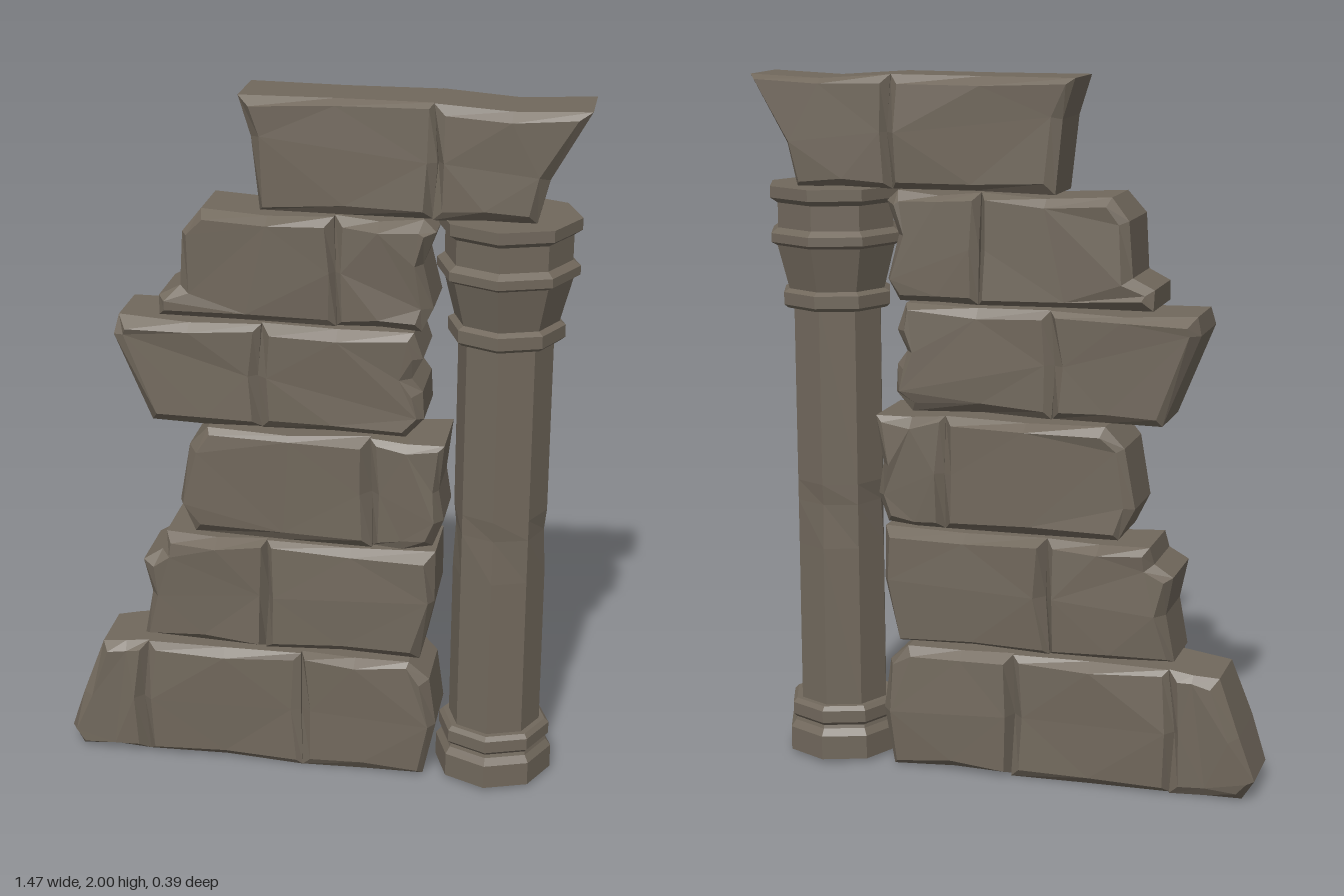
import * as THREE from 'three';

const stoneMat = new THREE.MeshStandardMaterial({ color: 0x71685c, flatShading: true });
stoneMat.name = 'weathered stone';

// small seeded generator for chipped edges
let seed = 7;
const jitter = (a) => {
  seed = (seed * 16807) % 2147483647;
  return (seed / 2147483647 - 0.5) * 2 * a;
};

// move each corner of a counter-clockwise outline inwards
function insetOutline(pts, d) {
  const n = pts.length;
  return pts.map((p, i) => {
    const a = pts[(i + n - 1) % n], b = pts[(i + 1) % n];
    const e1 = p.clone().sub(a).normalize(), e2 = b.clone().sub(p).normalize();
    const m = new THREE.Vector2(-e1.y - e2.y, e1.x + e2.x);
    const k = (d + jitter(d * 0.4)) / Math.max(0.6, m.lengthSq() / 2);
    return p.clone().addScaledVector(m, k);
  });
}

// rough block: full outline at mid depth, bevelled to smaller front and back faces
function makeStone(name, outline, face) {
  const pts = outline.map(([x, y]) => new THREE.Vector2(x, y));
  const n = pts.length, rim = face - 0.026;
  const front = insetOutline(pts, 0.022), back = insetOutline(pts, 0.022);
  const loops = [
    back.map((p) => [p.x, p.y, -face + jitter(0.008)]),
    pts.map((p) => [p.x, p.y, -rim + jitter(0.012)]),
    pts.map((p) => [p.x, p.y, rim + jitter(0.012)]),
    front.map((p) => [p.x, p.y, face + jitter(0.008)]),
  ];
  const index = [];
  for (let l = 0; l < 3; l++) {
    for (let i = 0; i < n; i++) {
      const a = l * n + i, b = l * n + (i + 1) % n;
      index.push(a, b, b + n, a, b + n, a + n);
    }
  }
  for (const [a, b, c] of THREE.ShapeUtils.triangulateShape(front, [])) {
    index.push(3 * n + a, 3 * n + b, 3 * n + c);
  }
  for (const [a, b, c] of THREE.ShapeUtils.triangulateShape(back, [])) {
    index.push(a, c, b);
  }
  const geo = new THREE.BufferGeometry();
  geo.setAttribute('position', new THREE.Float32BufferAttribute(loops.flat(2), 3));
  geo.setIndex(index);
  const flat = geo.toNonIndexed();
  flat.computeVertexNormals();
  const mesh = new THREE.Mesh(flat, stoneMat);
  mesh.name = name;
  return mesh;
}

// one course: ragged ends as [x, share of height], cut into stones at the joints
function makeCourse({ name, y, left, joints, right, face = 0.123 }) {
  const course = new THREE.Group();
  course.name = name;
  const [y0, y1] = y;
  const place = ([x, t]) => [x, y0 + t * (y1 - y0)];
  const seams = joints.map((x) => [[x, 0], [x + jitter(0.012), 0.5], [x + jitter(0.008), 1]].map(place));
  const ends = [left.map(place).reverse(), ...seams, right.map(place)];
  for (let i = 0; i < ends.length - 1; i++) {
    const a = ends[i], b = ends[i + 1];
    const [topA, topB] = [a.at(-1), b.at(-1)];
    const bottomMid = [(a[0][0] + b[0][0]) / 2, y0 + Math.abs(jitter(0.008))];
    const topMid = [(topA[0] + topB[0]) / 2, (topA[1] + topB[1]) / 2 - Math.abs(jitter(0.012))];
    const outline = [bottomMid, ...b, topMid, ...a.slice().reverse()];
    course.add(makeStone(`${name}Stone${i + 1}`, outline, face));
  }
  return course;
}

// left ends run from top to bottom, right ends from bottom to top
const courses = [
  { name: 'course1', y: [0, 0.365], joints: [-0.495, -0.03],
    left: [[-0.63, 0.95], [-0.69, 0.5], [-0.735, 0.15], [-0.7, 0]],
    right: [[0.325, 0], [0.36, 0.45], [0.34, 0.86], [0.28, 1]] },
  { name: 'course2', y: [0.375, 0.715], joints: [-0.14],
    left: [[-0.43, 1], [-0.44, 0.85], [-0.495, 0.75], [-0.475, 0.43], [-0.5, 0.03]],
    right: [[0.31, 0], [0.35, 0.55], [0.35, 1]] },
  { name: 'course3', y: [0.72, 1.05], joints: [0.17],
    left: [[-0.3, 1], [-0.355, 0.82], [-0.385, 0.3], [-0.34, 0.03]],
    right: [[0.34, 0.03], [0.37, 0.27], [0.355, 0.55], [0.37, 0.97]] },
  { name: 'course4', y: [1.06, 1.365], joints: [-0.145],
    left: [[-0.55, 1], [-0.56, 0.83], [-0.46, 0]],
    right: [[0.26, 0], [0.31, 0.17], [0.305, 0.43], [0.275, 0.56], [0.305, 0.75], [0.28, 1]] },
  { name: 'course5', y: [1.37, 1.68], joints: [0.065],
    left: [[-0.31, 1], [-0.36, 0.8], [-0.37, 0.3], [-0.43, 0.2], [-0.43, 0.02]],
    right: [[0.3, 0], [0.33, 0.2], [0.3, 0.6], [0.335, 0.9], [0.3, 1]] },
  { name: 'lintel', y: [1.68, 1.995], joints: [0.322], face: 0.11,
    left: [[-0.205, 1], [-0.17, 0.65], [-0.15, 0]],
    right: [[0.6, 0], [0.63, 0.38], [0.735, 0.98]] },
];

// eight-sided column part from [radius, height] pairs
function makeColumnPart(name, profile) {
  const pts = profile.map(([r, y]) => new THREE.Vector2(r, y));
  const geo = new THREE.LatheGeometry(pts, 8).toNonIndexed();
  geo.computeVertexNormals();
  const mesh = new THREE.Mesh(geo, stoneMat);
  mesh.name = name;
  return mesh;
}

function makeColumn() {
  const column = new THREE.Group();
  column.name = 'column';
  column.position.x = 0.52;
  column.rotation.y = -0.05;
  column.add(makeColumnPart('columnBase', [
    [0, 0.01], [0.17, 0.01], [0.17, 0.08], [0.155, 0.1], [0.152, 0.11],
    [0.162, 0.12], [0.162, 0.155], [0.15, 0.167], [0.12, 0.167],
  ]));
  const shaft = makeColumnPart('columnShaft', [
    [0.133, 0.16], [0.132, 0.64], [0.132, 0.77], [0.132, 0.83], [0.132, 1.35],
  ]);
  // worn nicks halfway up alternate edges
  const pos = shaft.geometry.attributes.position;
  for (let i = 0; i < pos.count; i++) {
    const x = pos.getX(i), z = pos.getZ(i);
    if (Math.abs(pos.getY(i) - 0.77) < 0.01 && Math.abs(x * z) < 1e-4) {
      pos.setX(i, x * 0.95);
      pos.setZ(i, z * 0.95);
    }
  }
  shaft.geometry.computeVertexNormals();
  column.add(shaft);
  column.add(makeColumnPart('columnCapital', [
    [0.12, 1.335], [0.15, 1.335], [0.162, 1.345], [0.162, 1.38], [0.145, 1.39],
    [0.178, 1.515], [0.196, 1.525], [0.196, 1.55], [0.175, 1.565], [0.175, 1.635],
    [0.197, 1.65], [0.197, 1.682], [0, 1.682],
  ]));
  return column;
}

export function createModel() {
  const model = new THREE.Group();
  model.name = 'ruinedWall';
  seed = 7;
  for (const course of courses) model.add(makeCourse(course));
  model.add(makeColumn());
  return model;
}
